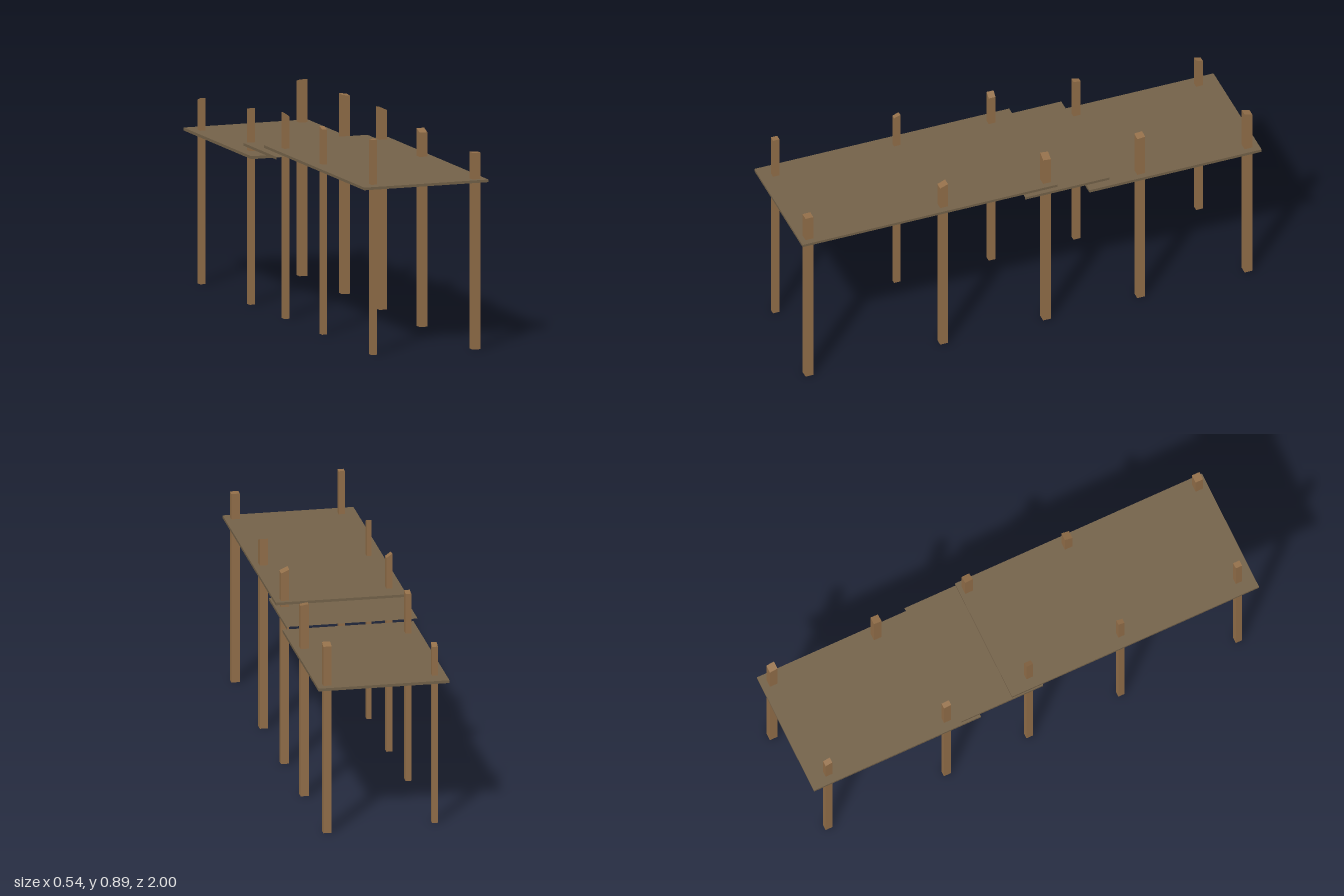
import * as THREE from 'three';

const postMat = new THREE.MeshStandardMaterial({ color: 0x94704a, flatShading: true });
const deckMat = new THREE.MeshStandardMaterial({ color: 0x75634a, flatShading: true });

// Each post: x, z, width, depth, top height, top slope along x, top slope along z
const POSTS = [
  // left row
  [0.228, 0.960, 0.035, 0.034, 0.810, 0, 0],
  [0.228, 0.373, 0.033, 0.034, 0.808, 0, -0.4],
  [0.229, -0.075, 0.034, 0.034, 0.828, -0.45, 0.1],
  [0.229, -0.485, 0.034, 0.034, 0.820, -0.15, -0.1],
  [0.228, -0.953, 0.034, 0.034, 0.806, 0, 0.3],
  // right row
  [-0.207, 0.934, 0.025, 0.028, 0.886, 0, 0],
  [-0.215, 0.403, 0.020, 0.028, 0.850, 0, -0.35],
  [-0.216, -0.010, 0.024, 0.030, 0.841, -0.7, 0],
  [-0.221, -0.382, 0.023, 0.032, 0.807, 0, 0.2],
  [-0.225, -0.917, 0.024, 0.030, 0.762, 0, 0.35],
];

// Square post with a roughly sawn, sloping top
function makePost([x, z, w, d, h, sx, sz], i) {
  const geo = new THREE.BoxGeometry(w, h, d).translate(0, h / 2, 0);
  const p = geo.attributes.position;
  for (let k = 0; k < p.count; k++) {
    if (p.getY(k) > h / 2) p.setY(k, h + sx * p.getX(k) + sz * p.getZ(k));
  }
  geo.computeVertexNormals();
  const post = new THREE.Mesh(geo, postMat);
  post.name = (x > 0 ? 'leftPost' : 'rightPost') + ((i % 5) + 1);
  post.position.set(x, 0, z);
  return post;
}

// Thin deck board between two heights and two depths
function makeDeck(name, y0, y1, z0, z1, openEnds = false) {
  const geo = new THREE.BoxGeometry(0.542, y1 - y0, z1 - z0);
  // keep only the sides, top and underside when the ends are open
  if (openEnds) geo.setIndex(Array.from(geo.index.array.slice(0, 24)));
  const deck = new THREE.Mesh(geo, deckMat);
  deck.name = name;
  deck.position.set(0, (y0 + y1) / 2, (z0 + z1) / 2);
  return deck;
}

export function createModel() {
  const model = new THREE.Group();
  model.name = 'steppedJetty';

  // Three overlapping decks, stepping down to the back
  model.add(
    makeDeck('frontDeck', 0.690, 0.701, -0.11, 1),
    makeDeck('middleDeck', 0.663, 0.674, -0.337, 0.03, true),
    makeDeck('backDeck', 0.621, 0.633, -1, -0.25)
  );

  // Posts passing through the decks
  const posts = new THREE.Group();
  posts.name = 'posts';
  POSTS.forEach((spec, i) => posts.add(makePost(spec, i)));
  model.add(posts);
  return model;
}
